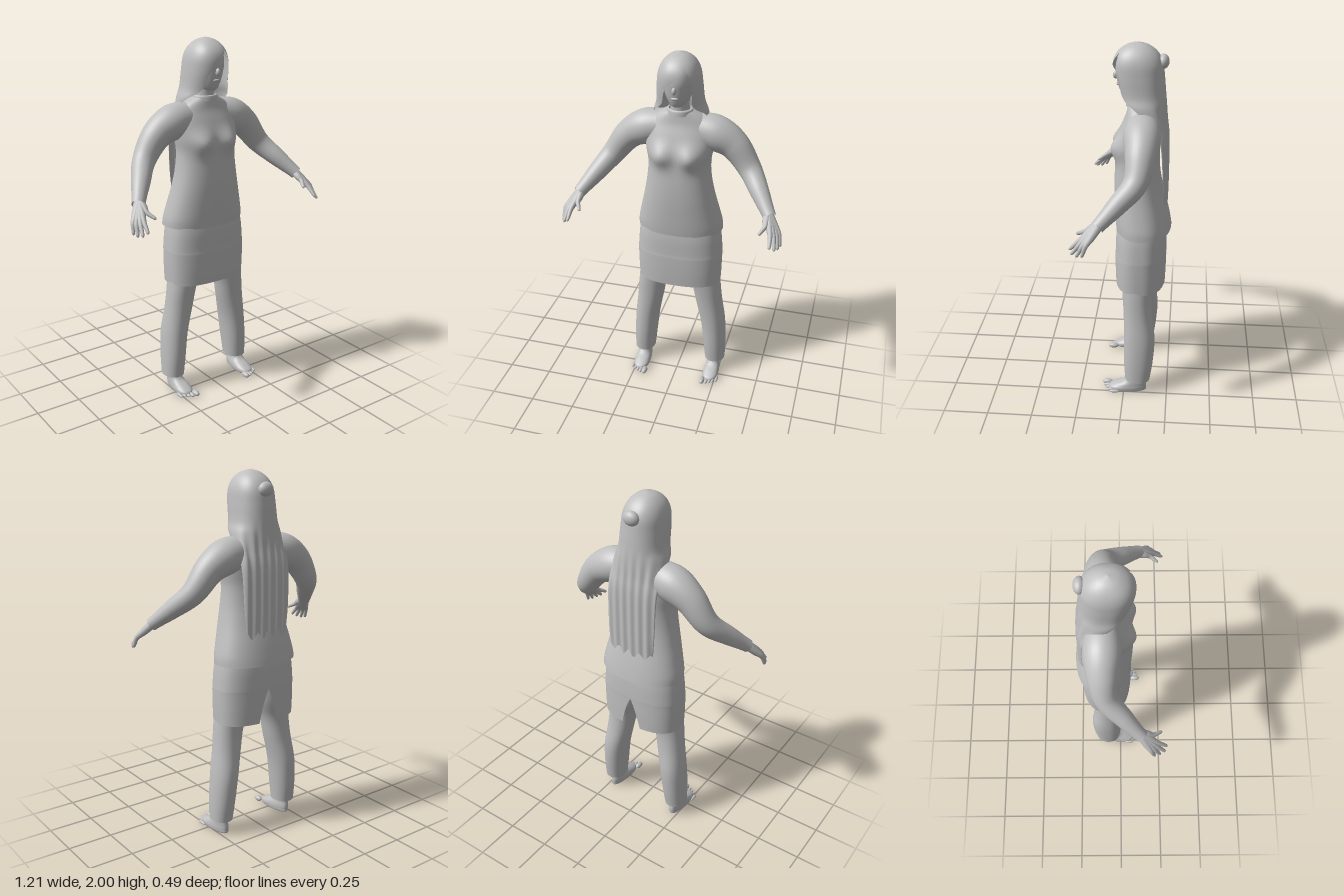
import * as THREE from 'three';
import { mergeVertices } from 'three/addons/utils/BufferGeometryUtils.js';

const PI = Math.PI;
const grey = new THREE.MeshStandardMaterial({ color: 0xbfbfbf, side: THREE.DoubleSide });
grey.name = 'plain grey';

// Weld seams and give smooth normals
function smooth(geo) {
  geo.deleteAttribute('uv');
  geo.deleteAttribute('normal');
  const g = mergeVertices(geo, 1e-5);
  g.computeVertexNormals();
  return g;
}

function spline(list, t) {
  const i = Math.min(Math.floor(t), list.length - 2), f = t - i;
  const at = (k) => list[Math.max(0, Math.min(list.length - 1, k))];
  const [a, b, c, d] = [at(i - 1), at(i), at(i + 1), at(i + 2)];
  return b + 0.5 * f * (c - a + f * (2 * a - 5 * b + 4 * c - d + f * (3 * (b - c) + d - a)));
}

// Horizontal rings, bottom to top: [y, centreX, halfWidth, zFront, zBack, startAngle, endAngle]
function loft(rows, { steps = 5, sides = 48, power = 1, rule } = {}) {
  const full = rows.map((r) => (r.length > 5 ? r : [...r, -PI, PI]));
  const n = (rows.length - 1) * steps, pos = [], idx = [], v = new THREE.Vector3();
  const bend = (s) => Math.sign(s) * Math.abs(s) ** power;
  for (let i = 0; i <= n; i++) {
    const [y, cx, rx, zf, zb, a0, a1] = full[0].map((_, k) => spline(full.map((r) => r[k]), i / steps));
    for (let j = 0; j <= sides; j++) {
      const a = a0 + (a1 - a0) * j / sides;
      v.set(cx + rx * bend(Math.sin(a)), y, (zf + zb) / 2 + (zf - zb) / 2 * bend(Math.cos(a)));
      if (rule) rule(v);
      pos.push(v.x, v.y, v.z);
      if (i < n && j < sides) {
        const p = i * (sides + 1) + j, q = p + sides + 1;
        idx.push(p, p + 1, q, p + 1, q + 1, q);
      }
    }
  }
  const g = new THREE.BufferGeometry();
  g.setAttribute('position', new THREE.Float32BufferAttribute(pos, 3));
  g.setIndex(idx);
  return smooth(g);
}

// Tapered tube through [x, y, z, radius]
function limb(points, side, sides = 24, n = 30) {
  const curve = new THREE.CatmullRomCurve3(points.map((p) => new THREE.Vector3(p[0] * side, p[1], p[2])));
  const g = new THREE.TubeGeometry(curve, n, 1, sides), p = g.attributes.position, v = new THREE.Vector3();
  for (let i = 0; i <= n; i++) {
    const c = curve.getPointAt(i / n);
    const r = spline(points.map((q) => q[3]), curve.getUtoTmapping(i / n) * (points.length - 1));
    for (let j = 0; j <= sides; j++) {
      const k = i * (sides + 1) + j;
      v.fromBufferAttribute(p, k).sub(c).multiplyScalar(r).add(c);
      p.setXYZ(k, v.x, v.y, v.z);
    }
  }
  return smooth(g);
}

export function createModel() {
  const model = new THREE.Group();
  const add = (name, geo) => {
    const m = new THREE.Mesh(geo, grey);
    m.name = name;
    model.add(m);
    return m;
  };
  const ball = (name, x, y, z, sx, sy, sz) => {
    const m = add(name, new THREE.SphereGeometry(1, 20, 14));
    m.position.set(x, y, z);
    m.scale.set(sx, sy, sz);
  };

  // Sweater body, with the bust pushed forward
  add('sweater', loft([
    [0.985, 0, 0.24, 0.056, -0.248], [1.03, 0, 0.237, 0.06, -0.24], [1.1, 0, 0.221, 0.064, -0.225],
    [1.2, 0, 0.197, 0.067, -0.2], [1.3, 0, 0.178, 0.064, -0.182], [1.4, 0, 0.17, 0.056, -0.176],
    [1.48, 0, 0.182, 0.052, -0.178], [1.56, 0, 0.19, 0.028, -0.18], [1.62, 0, 0.17, 0.005, -0.172],
    [1.66, 0, 0.125, -0.004, -0.152], [1.69, 0, 0.07, -0.008, -0.125],
  ], {
    sides: 72, power: 0.88, rule: (v) => {
      if (v.z > -0.04) {
        const dx = (Math.abs(v.x) - 0.085) / 0.06, dy = (v.y - 1.455) / 0.06;
        v.z += 0.034 * Math.exp(-dx * dx - dy * dy);
      }
    },
  }));
  add('collar', loft([[1.67, 0, 0.072, 0.004, -0.13], [1.695, 0, 0.07, 0.0, -0.125], [1.7, 0, 0.058, -0.008, -0.117]]));

  // Skirt with a slit at the back
  const slit = [[0.655, 0.17], [0.74, 0.1], [0.83, 0.01], [0.86, 0], [0.95, 0], [1.03, 0]];
  add('skirt', loft(slit.map(([y, g], i) => [
    y, 0, [0.238, 0.241, 0.242, 0.241, 0.233, 0.22][i], [0.057, 0.06, 0.06, 0.058, 0.055, 0.045][i],
    [-0.222, -0.224, -0.224, -0.224, -0.22, -0.21][i], -PI + g, PI - g,
  ]), { sides: 72, power: 0.78 }));

  // Head
  add('neck', loft([[1.64, 0, 0.058, -0.01, -0.12], [1.71, 0, 0.05, -0.012, -0.115], [1.79, 0, 0.052, 0, -0.12]]));
  add('head', loft([
    [1.725, 0, 0.002, 0.004, 0.0], [1.732, 0, 0.032, 0.024, -0.05], [1.77, 0, 0.062, 0.042, -0.12],
    [1.82, 0, 0.08, 0.053, -0.15], [1.87, 0, 0.09, 0.057, -0.16], [1.92, 0, 0.086, 0.045, -0.155],
    [1.96, 0, 0.062, 0.012, -0.13], [1.98, 0, 0.01, -0.05, -0.07],
  ]));
  ball('nose', 0, 1.828, 0.056, 0.012, 0.02, 0.016);
  ball('lips', 0, 1.783, 0.046, 0.02, 0.008, 0.007);

  // Long hair, parted over the face and hanging down the back
  const T = 2 * PI;
  add('hair', loft([
    [1.15, 0, 0.135, -0.18, -0.222, 1.6, T - 1.6], [1.3, 0, 0.145, -0.175, -0.224, 1.57, T - 1.57],
    [1.5, 0, 0.15, -0.15, -0.222, 1.57, T - 1.57], [1.6, 0, 0.15, -0.06, -0.212, 1.57, T - 1.57],
    [1.68, 0, 0.143, 0.025, -0.207, 1.25, T - 1.25], [1.74, 0, 0.125, 0.048, -0.203, 0.75, T - 0.62],
    [1.83, 0, 0.117, 0.068, -0.195, 0.8, T - 0.39], [1.9, 0, 0.108, 0.07, -0.185, 0.7, T + 0.19],
    [1.95, 0, 0.086, 0.047, -0.157, 0.5, T + 0.5], [1.985, 0, 0.048, 0, -0.11, 0.5, T + 0.5],
    [2.0, 0, 0.001, -0.054, -0.056, 0.5, T + 0.5],
  ], {
    sides: 96, steps: 6, power: 0.9, rule: (v) => {
      const low = THREE.MathUtils.clamp((1.75 - v.y) / 0.15, 0, 1);
      v.z += 0.004 * low * Math.sin(v.x * 130);
      v.y += 0.018 * THREE.MathUtils.clamp((1.25 - v.y) / 0.1, 0, 1) * Math.sin(v.x * 95 + 1);
    },
  }));
  ball('hairBun', 0, 1.903, -0.187, 0.044, 0.038, 0.03);

  for (const s of [1, -1]) {
    const side = s > 0 ? 'left' : 'right';
    add(side + 'Sleeve', limb([
      [0.08, 1.585, -0.09, 0.085], [0.19, 1.563, -0.092, 0.096], [0.285, 1.51, -0.092, 0.081],
      [0.38, 1.39, -0.072, 0.063], [0.455, 1.3, 0.015, 0.05], [0.525, 1.215, 0.105, 0.035],
    ], s, 32, 48));

    // Hand: each finger runs from the wrist through its knuckle
    const wrist = [0.513, 1.23, 0.09];
    const fingers = {
      Index: [[0.545, 1.15, 0.19], [0.551, 1.1, 0.243]],
      Middle: [[0.562, 1.142, 0.184], [0.576, 1.085, 0.232]],
      Ring: [[0.577, 1.138, 0.171], [0.59, 1.08, 0.205]],
      Little: [[0.587, 1.142, 0.155], [0.599, 1.085, 0.176]],
      Thumb: [[0.512, 1.185, 0.165], [0.487, 1.158, 0.213]],
    };
    for (const [name, [k, t]] of Object.entries(fingers)) {
      const mid = (a, b, f) => a.map((c, i) => c + (b[i] - c) * f);
      add(side + name + 'Finger', limb([
        [...wrist, 0.024], [...mid(wrist, k, 0.6), 0.02], [...k, 0.013],
        [...mid(k, t, 0.6), 0.01], [...mid(k, t, 0.93), 0.007], [...t, 0.0005],
      ], s, 12));
    }

    add(side + 'TrouserLeg', loft([
      [0.085, 0.222 * s, 0.06, -0.008, -0.15], [0.2, 0.216 * s, 0.066, 0, -0.166],
      [0.35, 0.203 * s, 0.071, 0.001, -0.174], [0.5, 0.178 * s, 0.077, 0.004, -0.156],
      [0.62, 0.16 * s, 0.083, 0.012, -0.152], [0.75, 0.13 * s, 0.1, 0.022, -0.17],
      [0.95, 0.115 * s, 0.108, 0.025, -0.18],
    ], { power: 0.92 }));

    // Foot, wider toward the toes
    add(side + 'Foot', loft([
      [0.003, 0.218 * s, 0.001, -0.02, -0.022], [0.003, 0.218 * s, 0.036, 0.075, -0.12],
      [0.025, 0.218 * s, 0.043, 0.085, -0.13], [0.045, 0.218 * s, 0.041, 0.05, -0.13],
      [0.075, 0.221 * s, 0.036, -0.01, -0.125], [0.14, 0.222 * s, 0.037, -0.035, -0.12],
    ], {
      power: 0.85, rule: (v) => { v.x = 0.218 * s + (v.x - 0.218 * s) * (1 + 2.2 * (v.z + 0.04)); },
    }));
    for (let i = 0; i < 5; i++) {
      const r = i ? 0.0115 - i * 0.0006 : 0.016;
      ball(side + 'Toe' + (i + 1), s * (i ? 0.187 + i * 0.019 : 0.181), r + 0.001, 0.098 - i * 0.01 - (i > 2 ? 0.004 : 0), r, r, 0.03);
    }
  }
  return model;
}
